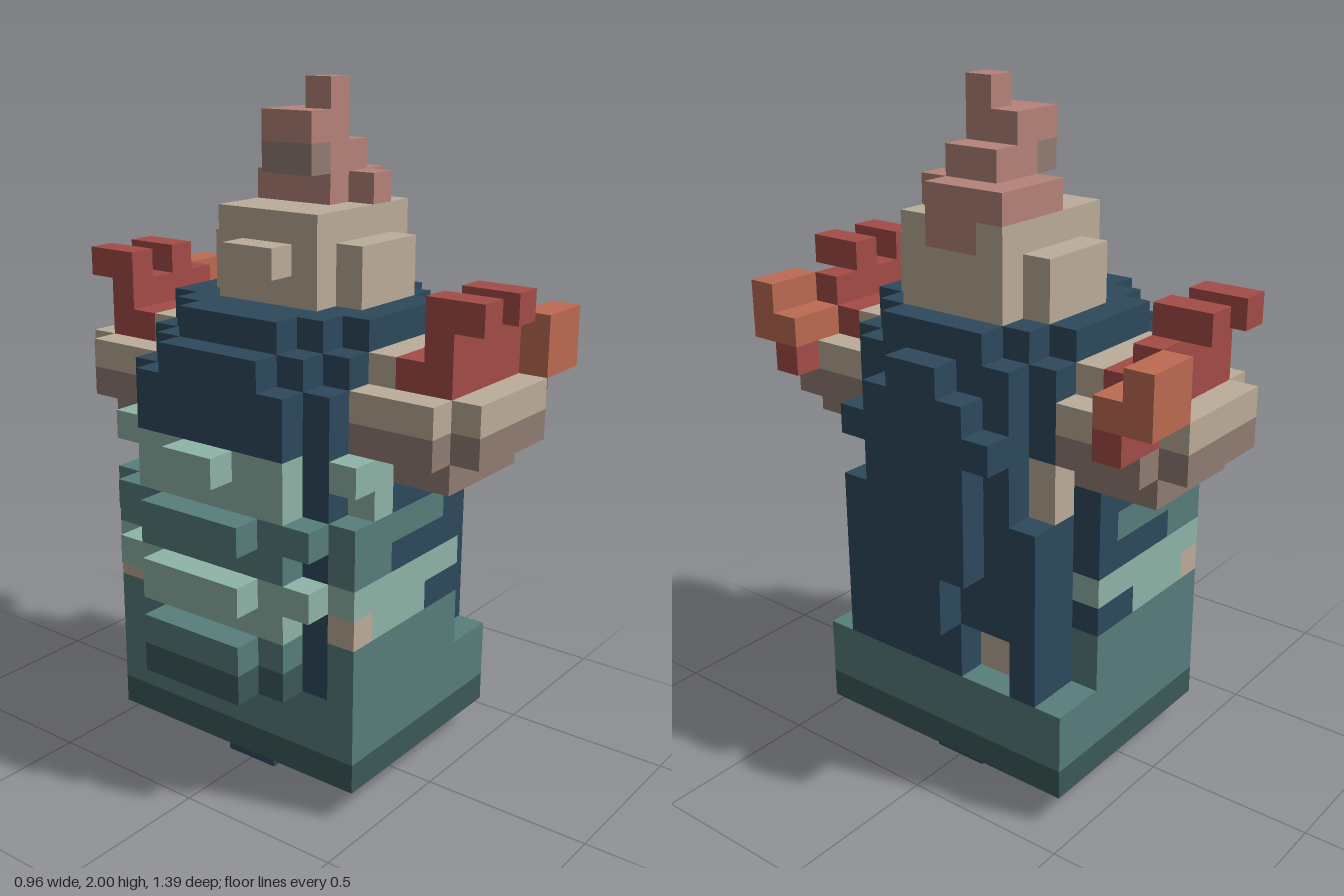
import * as THREE from 'three';

const U = 2 / 23; // edge of one block

const mat = (name, color) => {
  const m = new THREE.MeshStandardMaterial({ color });
  m.name = name;
  return m;
};
const C = {
  navy: mat('navy', 0x2d495c), teal: mat('teal', 0x567e7b), darkTeal: mat('dark teal', 0x3c5958),
  mint: mat('mint', 0x8fb4a8), tan: mat('tan', 0xbcad99), brown: mat('brown', 0x917d72),
  red: mat('red', 0xa44c47), orange: mat('orange', 0xbd6b52), pink: mat('pink', 0xb5837a),
};

// outward normal and the four corners of each block side
const SIDES = [0, 1, 2].flatMap(a => [1, -1].map(s => {
  const n = [0, 0, 0];
  n[a] = s;
  const corners = [[0, 0], [1, 0], [1, 1], [0, 1]].map(([p, q]) => {
    const c = [0, 0, 0];
    c[a] = s > 0 ? 1 : 0;
    c[(a + 1) % 3] = p;
    c[(a + 2) % 3] = q;
    return c;
  });
  return { n, corners: s > 0 ? corners : corners.reverse() };
}));

export function createModel() {
  const cells = new Map();
  const key = (x, y, z) => `${x},${y},${z}`;

  // fill a range of blocks; later fills repaint earlier ones
  const fill = (part, color, x0, x1, y0, y1, z0, z1) => {
    for (let x = x0; x < x1; x++)
      for (let y = y0; y < y1; y++)
        for (let z = z0; z < z1; z++) cells.set(key(x, y, z), { p: [x, y, z], part, color });
  };
  const mid = (part, color, x0, x1, y0, y1, w) => fill(part, color, x0, x1, y0, y1, -w, w);
  const both = (part, color, x0, x1, y0, y1, z0, z1) => {
    fill(part, color, x0, x1, y0, y1, z0, z1);
    fill(part, color, x0, x1, y0, y1, -z1, -z0);
  };

  // round foot
  mid('foot', 'navy', 3, 9, 0, 1, 1);
  mid('foot', 'navy', 4, 8, 0, 1, 2);
  mid('foot', 'navy', 5, 7, 0, 1, 3);

  // plinth
  mid('plinth', 'darkTeal', 2, 10, 1, 2, 5);
  mid('plinth', 'teal', 2, 10, 2, 4, 5);

  // body with stepped shoulders
  mid('body', 'navy', 2, 9, 4, 14, 4);
  mid('body', 'navy', 1, 2, 11, 14, 3);
  mid('body', 'navy', 1, 10, 14, 15, 2);
  mid('body', 'navy', 2, 10, 14, 15, 3);
  mid('body', 'navy', 3, 9, 14, 15, 4);
  mid('body', 'navy', 2, 10, 15, 16, 2);
  mid('body', 'navy', 3, 9, 15, 16, 3);
  mid('body', 'navy', 4, 8, 15, 16, 4);
  both('body', 'tan', 8, 9, 10, 12, 3, 4);

  // cape
  mid('cape', 'navy', 9, 10, 6, 14, 3);
  both('cape', 'navy', 9, 10, 4, 10, 3, 4);
  mid('cape', 'navy', 9, 10, 4, 6, 1);
  fill('cape', 'navy', 9, 10, 4, 6, 1, 3);
  fill('cape', 'tan', 8, 9, 4, 6, -3, -1);
  mid('cape', 'navy', 10, 11, 8, 14, 2);
  mid('cape', 'navy', 10, 11, 6, 15, 1);
  mid('cape', 'navy', 10, 11, 12, 13, 3);

  // side panels with wave bands
  both('sidePanel', 'navy', 4, 8, 6, 11, 4, 5);
  both('sidePanel', 'teal', 2, 8, 4, 6, 4, 5);
  both('sidePanel', 'mint', 2, 6, 6, 7, 4, 5);
  both('sidePanel', 'tan', 2, 3, 6, 7, 4, 5);
  both('sidePanel', 'mint', 2, 8, 7, 8, 4, 5);
  both('sidePanel', 'teal', 2, 4, 8, 9, 4, 5);
  both('sidePanel', 'teal', 2, 7, 9, 10, 4, 5);
  both('sidePanel', 'mint', 3, 4, 10, 11, 4, 5);
  both('sidePanel', 'mint', 2, 4, 11, 12, 4, 5);

  // waves: [row, colour, inner half width, crest half width]
  for (const [y, color, w, crest] of [
    [4, 'darkTeal', 3, 2], [5, 'teal', 3, 2], [6, 'mint', 3, 0], [7, 'mint', 4, 2],
    [8, 'teal', 3, 0], [9, 'teal', 4, 2], [10, 'mint', 3, 0], [11, 'mint', 3, 1],
  ]) {
    mid('waves', color, 1, 2, y, y + 1, w);
    mid('waves', color, 0, 1, y, y + 1, crest);
  }

  // bowls held out on both sides
  both('bowl', 'brown', 4, 8, 11, 12, 4, 7);
  for (const [y, color] of [[12, 'brown'], [13, 'tan']]) {
    both('bowl', color, 3, 9, y, y + 1, 4, 7);
    both('bowl', color, 4, 8, y, y + 1, 7, 8);
  }
  both('bowl', 'tan', 4, 8, 14, 15, 4, 5);

  // claws resting in the bowls
  both('claw', 'red', 4, 8, 14, 15, 5, 7);
  both('claw', 'red', 4, 8, 15, 16, 6, 7);
  for (const x of [4, 6]) both('claw', 'red', x, x + 1, 16, 17, 6, 8);
  both('claw', 'red', 8, 10, 13, 14, 6, 7);
  both('claw', 'orange', 8, 10, 14, 15, 6, 8);
  both('claw', 'orange', 8, 10, 15, 16, 7, 8);

  // stepped crown
  mid('crown', 'tan', 4, 9, 16, 18, 2);
  mid('crown', 'tan', 5, 8, 16, 18, 3);
  mid('crown', 'tan', 3, 4, 17, 18, 1);
  mid('crown', 'tan', 4, 8, 18, 19, 2);
  both('crown', 'tan', 8, 9, 18, 19, 1, 2);

  // flame
  mid('flame', 'pink', 8, 9, 18, 20, 1);
  mid('flame', 'pink', 6, 8, 19, 21, 1);
  fill('flame', 'pink', 6, 9, 19, 20, -2, -1);
  fill('flame', 'pink', 7, 8, 19, 20, 1, 2);
  mid('flame', 'brown', 5, 6, 20, 21, 1);
  mid('flame', 'pink', 5, 7, 21, 22, 1);
  fill('flame', 'pink', 6, 7, 22, 23, 0, 1);

  // gather the exposed sides of each part and colour
  const meshes = new Map();
  for (const { p, part, color } of cells.values()) {
    const id = `${part}/${color}`;
    if (!meshes.has(id)) meshes.set(id, { part, color, pos: [], nor: [], idx: [] });
    const m = meshes.get(id);
    for (const { n, corners } of SIDES) {
      if (cells.has(key(p[0] + n[0], p[1] + n[1], p[2] + n[2]))) continue;
      const b = m.pos.length / 3;
      for (const c of corners) {
        m.pos.push((p[0] + c[0] - 5.5) * U, (p[1] + c[1]) * U, (p[2] + c[2]) * U);
        m.nor.push(...n);
      }
      m.idx.push(b, b + 1, b + 2, b, b + 2, b + 3);
    }
  }

  const model = new THREE.Group();
  model.name = 'blockFigure';
  for (const { part, color, pos, nor, idx } of meshes.values()) {
    if (!idx.length) continue;
    const g = new THREE.BufferGeometry();
    g.setAttribute('position', new THREE.Float32BufferAttribute(pos, 3));
    g.setAttribute('normal', new THREE.Float32BufferAttribute(nor, 3));
    g.setIndex(idx);
    const mesh = new THREE.Mesh(g, C[color]);
    mesh.name = part;
    model.add(mesh);
  }
  return model;
}
